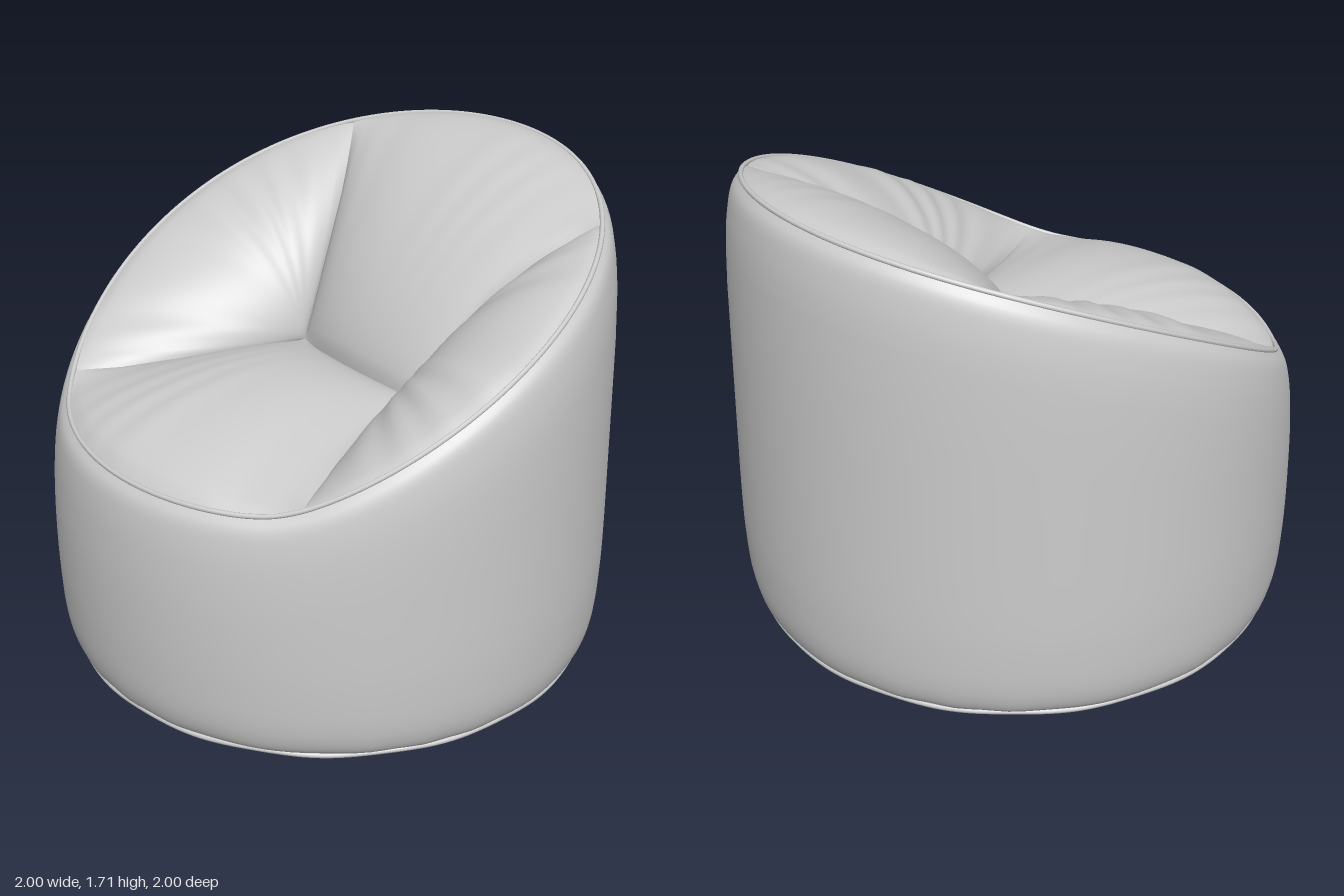
import * as THREE from 'three';
import { mergeVertices } from 'three/addons/utils/BufferGeometryUtils.js';

const V = (x, y, z) => new THREE.Vector3(x, y, z);
const RIM = 0.93;
const RAD = Math.PI / 180;

// Height of the sloping rim: flat at the front, climbing to the back
function rimHeight(z) {
  const a = 1.33 - 0.5 * z - 0.1 * z * z - 0.92;
  return 0.92 + (a + Math.sqrt(a * a + 0.0025)) / 2;
}

// Point on the rim; angle 0 is the front, 90 degrees is +x
function rimPoint(t) {
  const z = RIM * Math.cos(t);
  return V(RIM * Math.sin(t), rimHeight(z), z);
}

// Smooth surface from a rule fn(u, v)
function surface(nu, nv, fn) {
  const pos = [], idx = [];
  for (let j = 0; j <= nv; j++)
    for (let i = 0; i <= nu; i++) pos.push(...fn(i / nu, j / nv).toArray());
  for (let j = 0; j < nv; j++)
    for (let i = 0; i < nu; i++) {
      const a = j * (nu + 1) + i, c = a + nu + 1;
      idx.push(a, a + 1, c, a + 1, c + 1, c);
    }
  let g = new THREE.BufferGeometry();
  g.setAttribute('position', new THREE.Float32BufferAttribute(pos, 3));
  g.setIndex(idx);
  g = mergeVertices(g, 1e-5);
  g.computeVertexNormals();
  return g;
}

// Seam from an inner corner of the seat out to the rim
function seam(deg) {
  const t = deg * RAD, end = rimPoint(t);
  const side = Math.sign(end.x), isBack = end.z < 0;
  const start = V(0.33 * side, 0.97, -0.15);
  const mid = start.clone().add(end).multiplyScalar(0.5);
  mid.add(isBack ? V(-0.08 * side, 0.12, 0) : V(-0.1 * side, 0, 0));
  return new THREE.QuadraticBezierCurve3(start, mid, end);
}

// Stuffed panel between two seams, the inner edge and the rim
function cushion(deg0, deg1, normal, bulge, folds) {
  const s0 = seam(deg0), s1 = seam(deg1);
  const p00 = s0.getPoint(0), p10 = s1.getPoint(0);
  const p01 = s0.getPoint(1), p11 = s1.getPoint(1);
  const sag = p00.distanceTo(p10) > 0.01 ? 0.04 : 0;
  return surface(48, 40, (u, v) => {
    const inner = p00.clone().lerp(p10, u);
    inner.z += sag * 4 * u * (1 - u);
    const outer = rimPoint(THREE.MathUtils.lerp(deg0, deg1, u) * RAD);
    const p = inner.multiplyScalar(1 - v).addScaledVector(outer, v);
    p.add(s0.getPoint(v).lerp(s1.getPoint(v), u));
    p.sub(p00.clone().lerp(p10, u).lerp(p01.clone().lerp(p11, u), v));
    const w = Math.pow(Math.max(0, 16 * u * (1 - u) * v * (1 - v)), 0.65);
    const fold = folds * v * v * Math.sin(u * 40 + 3 * Math.sin(u * 9) + v * 2);
    return p.addScaledVector(normal, w * (bulge + fold));
  });
}

export function createModel() {
  const group = new THREE.Group();
  const material = new THREE.MeshStandardMaterial({ color: 0xcccccc, side: THREE.DoubleSide });
  const add = (name, geometry) => {
    const mesh = new THREE.Mesh(geometry, material);
    mesh.name = name;
    group.add(mesh);
    return mesh;
  };

  // Outer fabric wall, rounded at the base and under the rim
  add('outerShell', surface(128, 40, (u, v) => {
    const t = Math.PI + u * Math.PI * 2;
    const h = rimHeight(RIM * Math.cos(t));
    const profile = new THREE.CatmullRomCurve3([
      V(0.93, 0.02, 0), V(0.957, 0.05, 0), V(0.98, 0.12, 0), V(0.995, 0.28, 0),
      V(1, 0.5, 0), V(0.996, h - 0.27, 0), V(0.982, h - 0.12, 0),
      V(0.962, h - 0.04, 0), V(RIM, h, 0),
    ]);
    const p = profile.getPoint(v);
    // Slight gathers where the wall meets the base
    const gather = 0.004 * Math.pow(1 - v, 8) * Math.sin(t * 22 + 2 * Math.sin(t * 5));
    const r = Math.min(1, p.x + gather);
    return V(r * Math.sin(t), p.y, r * Math.cos(t));
  }));

  // Flat underside
  const base = add('base', new THREE.CircleGeometry(0.932, 96));
  base.rotation.x = Math.PI / 2;
  base.position.y = 0.018;

  // Four stuffed panels inside the rim
  add('seatCushion', cushion(45, -45, V(0, 1, 0), 0.15, 0.006));
  add('backCushion', cushion(225, 135, V(0, 0.75, 0.66), 0.16, 0.004));
  add('leftArmCushion', cushion(135, 45, V(-0.54, 0.76, 0.38), 0.11, 0.014));
  add('rightArmCushion', cushion(315, 225, V(0.54, 0.76, 0.38), 0.11, 0.014));

  // Piping along the rim and the base edge
  const loop = (fn) => new THREE.CatmullRomCurve3(
    Array.from({ length: 64 }, (_, i) => fn((i / 64) * Math.PI * 2)), true);
  add('rimPiping', new THREE.TubeGeometry(loop(rimPoint), 192, 0.009, 8, true));
  add('basePiping', new THREE.TubeGeometry(
    loop((t) => V(0.937 * Math.sin(t), 0.024 + 0.003 * Math.sin(t * 13), 0.937 * Math.cos(t))),
    192, 0.01, 8, true));

  return group;
}
